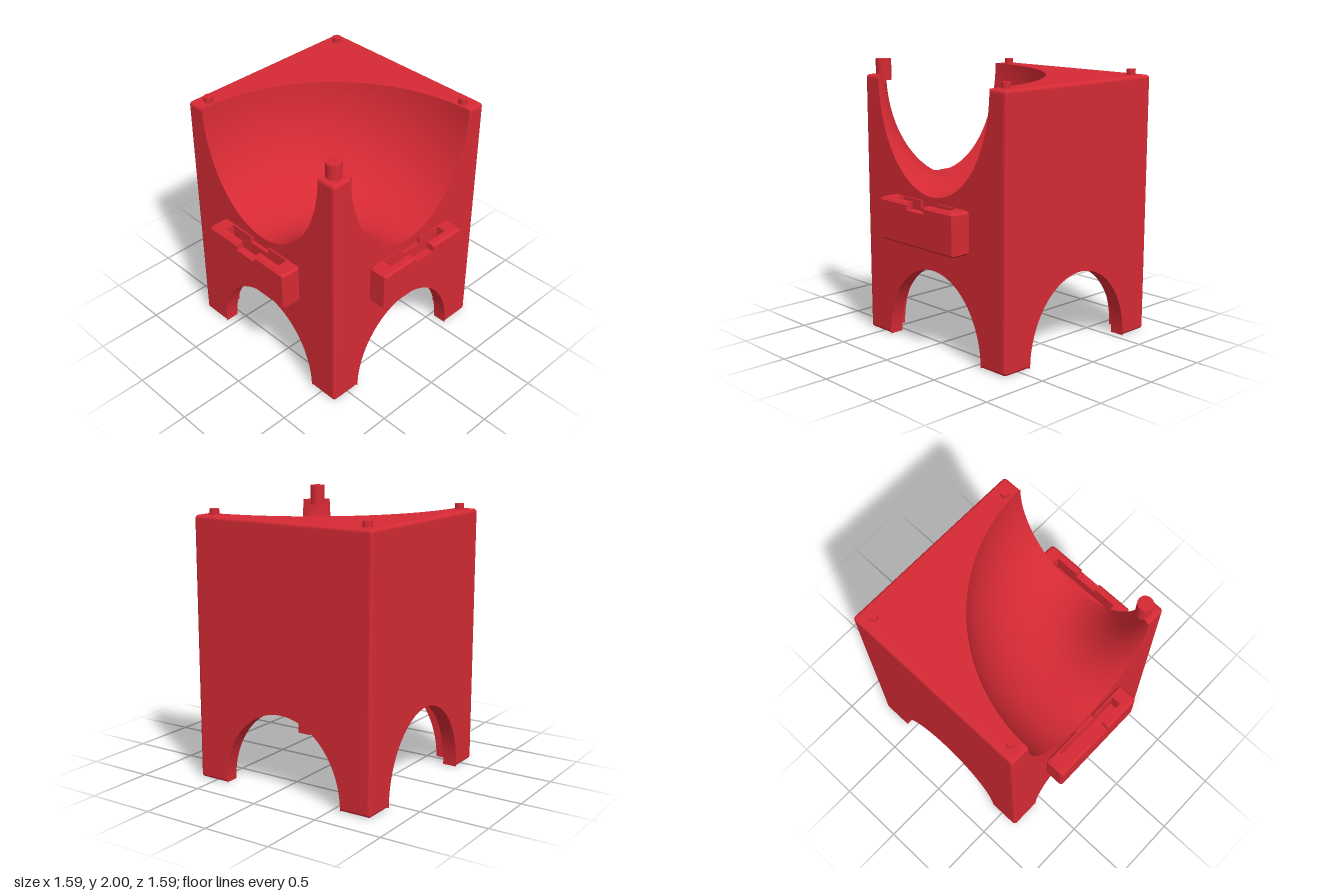
import * as THREE from 'three';
import { mergeGeometries } from 'three/addons/utils/BufferGeometryUtils.js';

const H = 0.718, TOP = 1.89, R = 0.025, W = H - R;   // block half width, height, edge radius
const INNER = H - 0.108, CEIL = 0.975;               // hollow base
const ARCH_A = 0.483, ARCH_B = 0.58;                 // arch half width and height
const CH_MID = 0.718, CH_A = 0.57, CH_B = 0.79;      // channel ring radius, half width, depth
const Q = Math.PI / 2;

export function createModel() {
  const model = new THREE.Group();
  model.name = 'cornerTrackBlock';
  const red = new THREE.MeshStandardMaterial({ color: 0xd62a34, side: THREE.DoubleSide });
  red.name = 'red';
  const block = new THREE.Group();
  block.name = 'block';
  block.position.set(0.0775, 0, -0.0785);
  model.add(block);

  const add = (parent, name, geometry) => {
    const mesh = new THREE.Mesh(geometry, red);
    mesh.name = name;
    parent.add(mesh);
  };

  // Horizontal face at height y from points (x, z)
  const flat = (pts, y) => new THREE.ShapeGeometry(
    new THREE.Shape(pts.map(p => new THREE.Vector2(p[0], -p[1])))).rotateX(-Q).translate(0, y, 0);

  // Wall face with an arch at the bottom and, if open, the channel cut at the top
  const wallFace = (w, y0, y1, open) => {
    const t = Math.asin(y0 / ARCH_B), c = Math.asin(R / CH_B), s = new THREE.Shape();
    s.moveTo(-w, y0);
    s.lineTo(-ARCH_A * Math.cos(t), y0);
    s.absellipse(0, 0, ARCH_A, ARCH_B, Math.PI - t, t, true);
    s.lineTo(w, y0);
    s.lineTo(w, y1);
    if (open) s.absellipse(0, TOP, CH_A, CH_B, -c, c - Math.PI, true);
    s.lineTo(-w, y1);
    return new THREE.ShapeGeometry(s, 48);
  };

  // Quarter-round edge running along a wall from x0 to x1
  const edge = (x0, x1, y, start) => new THREE.CylinderGeometry(R, R, x1 - x0, 6, 1, true, start, Q)
    .rotateZ(Q).translate((x0 + x1) / 2, y, W);
  const corner = (y, start) => new THREE.SphereGeometry(R, 6, 6, Q, Q, start, Q).translate(W, y, W);

  // Four walls; the front and the right one are open to the channel
  ['front', 'left', 'back', 'right'].forEach((side, k) => {
    const open = k === 0 || k === 3;
    const wall = new THREE.Group();
    wall.name = side + 'Wall';
    wall.rotation.y = k * Q;
    block.add(wall);
    add(wall, 'outerFace', wallFace(W, R, TOP - R, open).translate(0, 0, H));
    add(wall, 'innerFace', wallFace(INNER, 0, CEIL, false).translate(0, 0, INNER));
    add(wall, 'archBand', new THREE.CylinderGeometry(1, 1, H - INNER, 48, 1, true, -Q, Math.PI)
      .rotateX(-Q).scale(ARCH_A, ARCH_B, 1).translate(0, 0, (H + INNER) / 2));
    for (const s of [-1, 1]) {
      add(wall, 'foot', flat([[ARCH_A, W], [W, W], [INNER, INNER], [ARCH_A, INNER]]
        .map(p => [p[0] * s, p[1]]), 0));
    }
    const edges = [edge(-W, -ARCH_A, R, -Q), edge(ARCH_A, W, R, -Q)];
    if (open) edges.push(edge(-W, -CH_A, TOP - R, 0), edge(CH_A, W, TOP - R, 0));
    else edges.push(edge(-W, W, TOP - R, 0));
    edges.push(new THREE.CylinderGeometry(R, R, TOP - 2 * R, 6, 1, true, 0, Q).translate(W, TOP / 2, W));
    edges.push(corner(TOP - R, 0), corner(R, Q));
    add(wall, 'roundedEdges', mergeGeometries(edges));
    if (open) wall.add(makeConnector());
  });

  // Top face on both sides of the channel, and the ceiling of the hollow base
  const topFace = (radius, corners) => {
    const t = Math.asin(R / radius), s = new THREE.Shape();
    s.absarc(-H, -H, radius, t, Q - t, false);
    corners.forEach(c => s.lineTo(c[0], c[1]));
    return new THREE.ShapeGeometry(s, 48).rotateX(-Q).translate(0, TOP, 0);
  };
  add(block, 'topFace', topFace(CH_MID + CH_A, [[-W, W], [W, W], [W, -W]]));
  add(block, 'cornerTop', topFace(CH_MID - CH_A, [[-W, -W]]));
  add(block, 'ceiling', new THREE.PlaneGeometry(2 * INNER, 2 * INNER).rotateX(Q).translate(0, CEIL, 0));

  // Quarter-turn channel
  const profile = [];
  for (let i = 0; i <= 48; i++) {
    const t = Math.PI * i / 48;
    profile.push(new THREE.Vector2(CH_MID - CH_A * Math.cos(t), TOP - CH_B * Math.sin(t)));
  }
  add(block, 'channel', new THREE.LatheGeometry(profile, 48, Q, Q).translate(-H, 0, H));

  // Pegs on the top face
  const peg = (name, x, z, r, y0, y1) => add(model, name,
    new THREE.CylinderGeometry(r, r, y1 - y0, 20).translate(x, (y0 + y1) / 2, z));
  peg('smallPegBackRight', -0.54, -0.7, 0.033, 1.885, 1.93);
  peg('smallPegBackLeft', 0.695, -0.7, 0.033, 1.885, 1.93);
  peg('smallPegFrontLeft', 0.695, 0.54, 0.033, 1.885, 1.93);
  peg('tallPeg', -0.55, 0.545, 0.055, 1.85, 2);

  // Chamfered connector with a pocket and a notch in its top
  function makeConnector() {
    const w = 0.388, d = 0.156, c = 0.015, n = 0.09, pw = 0.278, p0 = 0.026, p1 = 0.098;
    const y = { bottom: 0.77, floor: 0.92, notch: 1.02, top: 1.07 };
    const group = new THREE.Group();
    group.name = 'connector';
    group.position.z = H;
    // Right half of the outline, moved inward by i
    const half = i => [[n, i], [w - c - i, i], [w - i, c + i], [w - i, d - c - i], [w - c - i, d - i], [n, d - i]];
    const flip = pts => pts.map(p => [-p[0], p[1]]);
    const outline = i => [...half(i), ...flip(half(i)).reverse()];
    const jaw = i => [...half(i), [n, p1], [pw, p1], [pw, p0], [n, p0]];
    const rect = (x, z0, z1) => [[-x, z0], [x, z0], [x, z1], [-x, z1]];
    // Closed band of faces between two loops of points
    const band = (a, ya, b, yb) => {
      const v = [];
      a.forEach((p, i) => {
        const j = (i + 1) % a.length;
        const A = [p[0], ya, p[1]], B = [a[j][0], ya, a[j][1]];
        const C = [b[j][0], yb, b[j][1]], D = [b[i][0], yb, b[i][1]];
        v.push(...A, ...D, ...B, ...B, ...D, ...C);
      });
      const g = new THREE.BufferGeometry();
      g.setAttribute('position', new THREE.Float32BufferAttribute(v, 3));
      g.computeVertexNormals();
      return g;
    };
    add(group, 'connectorBottom', flat(outline(c), y.bottom));
    add(group, 'connectorLowerChamfer', band(outline(c), y.bottom, outline(0), y.bottom + c));
    add(group, 'connectorBody', band(outline(0), y.bottom + c, outline(0), y.notch));
    add(group, 'pocketFloor', flat(rect(pw, p0, p1), y.floor));
    add(group, 'pocketSides', band(rect(pw, p0, p1), y.floor, rect(pw, p0, p1), y.notch));
    add(group, 'notchBack', flat(rect(n, 0, p0), y.notch));
    add(group, 'notchFront', flat(rect(n, p1, d), y.notch));
    for (const side of [p => p, flip]) {
      add(group, 'jawSides', band(side(jaw(0)), y.notch, side(jaw(0)), y.top - c));
      add(group, 'jawChamfer', band(side(jaw(0)), y.top - c, side(jaw(c)), y.top));
      add(group, 'jawTop', flat(side(jaw(c)), y.top));
    }
    return group;
  }

  return model;
}
